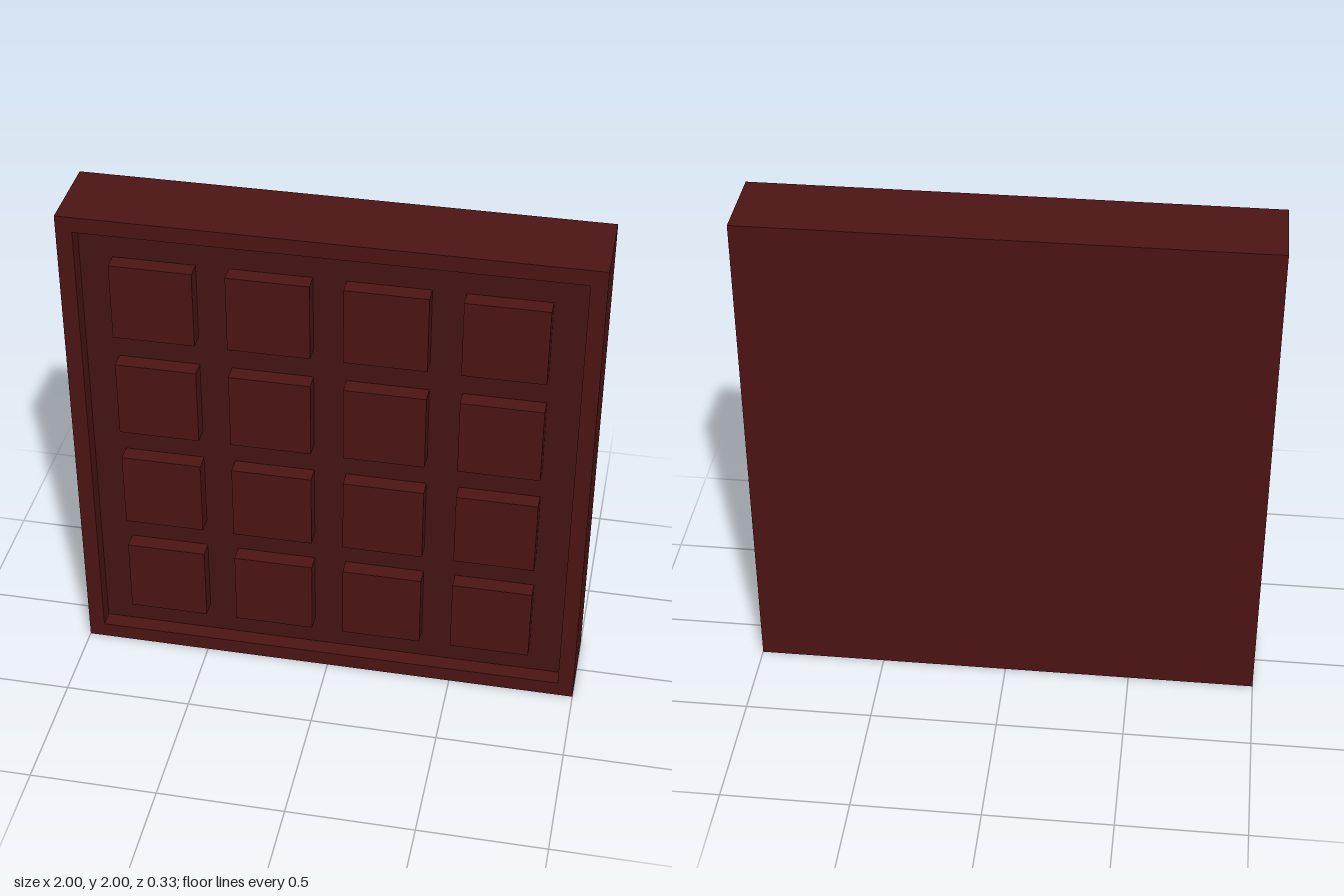
import * as THREE from 'three';

const HALF_DEPTH = 0.165, RECESS = 0.065, RIM = 0.0625;

export function createModel() {
  const group = new THREE.Group();
  const red = new THREE.MeshStandardMaterial({ color: 0x4d1414 });
  const darkRed = new THREE.MeshStandardMaterial({ color: 0x441414 });

  const add = (name, geometry, material, x, y, z) => {
    const mesh = new THREE.Mesh(geometry, material);
    mesh.name = name;
    mesh.position.set(x, y, z);
    group.add(mesh);
  };
  const square = (Type, half) => new Type([
    new THREE.Vector2(-half, -half), new THREE.Vector2(half, -half),
    new THREE.Vector2(half, half), new THREE.Vector2(-half, half),
  ]);

  // Outer frame running the full depth
  const outline = square(THREE.Shape, 1);
  outline.holes.push(square(THREE.Path, 1 - RIM));
  const frame = new THREE.ExtrudeGeometry(outline, { depth: 2 * HALF_DEPTH, bevelEnabled: false });
  add('frame', frame, red, 0, 1, -HALF_DEPTH);

  // Solid back filling the frame, and the darker recessed floor on it
  const inner = 2 * (1 - RIM);
  const floorZ = HALF_DEPTH - RECESS, floorThickness = 0.02;
  const backDepth = floorZ - floorThickness + HALF_DEPTH;
  add('backPanel', new THREE.BoxGeometry(inner, inner, backDepth), red, 0, 1, -HALF_DEPTH + backDepth / 2);
  add('recessedFloor', new THREE.BoxGeometry(inner, inner, floorThickness), darkRed, 0, 1, floorZ - floorThickness / 2);

  // Four by four grid of raised square pads, flush with the rim
  const pad = new THREE.BoxGeometry(0.3125, 0.3125, RECESS);
  for (let row = 0; row < 4; row++) {
    for (let col = 0; col < 4; col++) {
      add('raisedPad', pad, red, (col - 1.5) * 0.4365, 1 + (row - 1.5) * 0.4365, HALF_DEPTH - RECESS / 2);
    }
  }
  return group;
}
